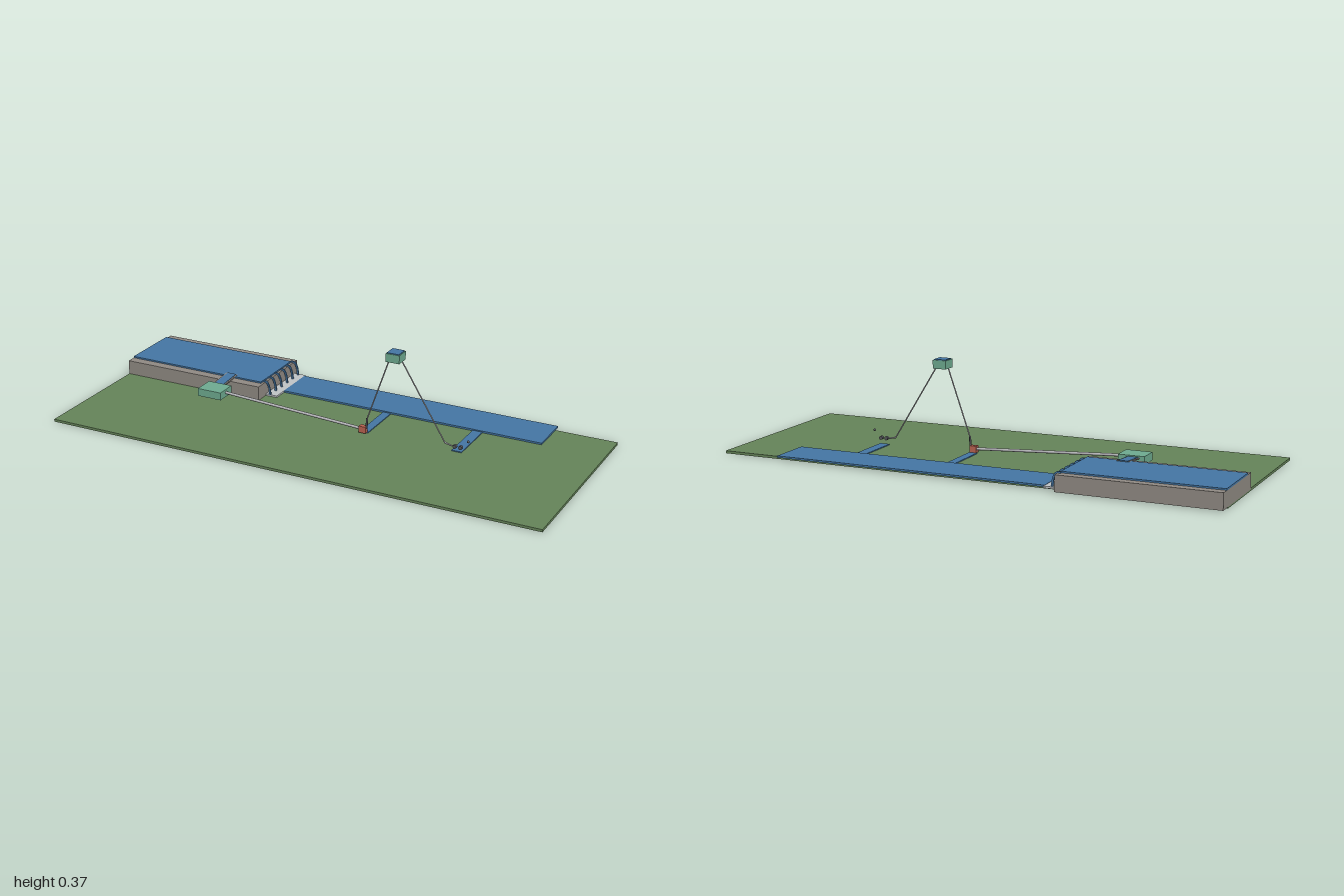
import * as THREE from 'three';

const mat = (name, color) => {
  const m = new THREE.MeshStandardMaterial({ color });
  m.name = name;
  return m;
};

export function createModel() {
  const grass = mat('grass green', 0x66855a);
  const water = mat('water blue', 0x4577a6);
  const stone = mat('stone grey', 0x928c85);
  const concrete = mat('light concrete', 0xc2c6c9);
  const teal = mat('teal', 0x70ad92);
  const red = mat('brick red', 0xbd6452);
  const pipeGrey = mat('pipe grey', 0xb4b4b8);
  const dark = mat('dark metal', 0x55585c);

  const model = new THREE.Group();
  model.name = 'hydroPowerSite';
  const lineZ = -0.009; // all machinery stands on this line

  const add = (name, geometry, material) => {
    const mesh = new THREE.Mesh(geometry, material);
    mesh.name = name;
    model.add(mesh);
    return mesh;
  };
  // box from its lower and upper limits on each axis
  const box = (name, material, [x0, x1], [y0, y1], [z0, z1]) => {
    const mesh = add(name, new THREE.BoxGeometry(x1 - x0, y1 - y0, z1 - z0), material);
    mesh.position.set((x0 + x1) / 2, (y0 + y1) / 2, (z0 + z1) / 2);
    return mesh;
  };
  // straight pipe between two points
  const pipe = (name, material, a, b, r0, r1 = r0) => {
    const p = new THREE.Vector3(...a), q = new THREE.Vector3(...b);
    const d = q.clone().sub(p);
    const mesh = add(name, new THREE.CylinderGeometry(r1, r0, d.length(), 16), material);
    mesh.position.copy(p).add(q).multiplyScalar(0.5);
    mesh.quaternion.setFromUnitVectors(new THREE.Vector3(0, 1, 0), d.normalize());
    return mesh;
  };

  // Land and river
  box('ground', grass, [-1, 1], [0, 0.01], [-0.367, 0.42]);
  box('river', water, [-0.34, 0.755], [0.011, 0.018], [-0.39, -0.215]);
  box('powerhouseTailrace', water, [0.1, 0.133], [0.009, 0.0135], [-0.216, -0.015]);
  box('pumpIntakeChannel', water, [0.477, 0.517], [0.009, 0.0135], [-0.216, -0.015]);

  // Upper reservoir with its spillway
  box('reservoir', stone, [-1, -0.39], [0.005, 0.067], [-0.42, -0.1]);
  box('reservoirWater', water, [-1, -0.4], [0.066, 0.073], [-0.385, -0.137]);
  box('spillwayApron', concrete, [-0.395, -0.34], [0.01, 0.017], [-0.4, -0.157]);

  // Falling water: an arched ribbon, repeated along the dam edge
  const jet = new THREE.Shape();
  jet.moveTo(-0.402, 0.073);
  jet.lineTo(-0.388, 0.073);
  jet.quadraticCurveTo(-0.37, 0.068, -0.366, 0.017);
  jet.lineTo(-0.374, 0.017);
  jet.quadraticCurveTo(-0.376, 0.062, -0.39, 0.066);
  jet.lineTo(-0.402, 0.066);
  const jetGeometry = new THREE.ExtrudeGeometry(jet, { depth: 0.006, bevelEnabled: false, curveSegments: 6 });
  for (let i = 0; i < 6; i++) {
    add('spillwayJet', jetGeometry, water).position.z = -0.161 - i * 0.0465;
  }

  // Sloping feeder channel from reservoir to forebay
  const feeder = new THREE.Group();
  feeder.name = 'feederChannel';
  const feederParts = [
    ['feederBed', stone, 0.05, 0.004, 0],
    ['feederWater', water, 0.038, 0.003, 0.0025],
  ];
  for (const [name, material, width, height, y] of feederParts) {
    const mesh = new THREE.Mesh(new THREE.BoxGeometry(width, height, 0.108), material);
    mesh.name = name;
    mesh.position.y = y;
    feeder.add(mesh);
  }
  feeder.position.set(-0.544, 0.0685, -0.103);
  feeder.rotation.x = 0.075;
  model.add(feeder);

  // Forebay tank and penstock
  box('forebayTank', teal, [-0.588, -0.485], [0.042, 0.073], [-0.052, 0.033]);
  pipe('penstock', pipeGrey, [-0.487, 0.06, lineZ], [0.11, 0.028, lineZ], 0.0055);

  // Powerhouse with its riser
  box('powerhouse', red, [0.102, 0.13], [0.014, 0.04], [-0.019, 0.001]);
  pipe('powerhouseRiser', dark, [0.13, 0.034, lineZ], [0.132, 0.074, lineZ], 0.004);

  // High tank with its two long pipes
  box('highTank', teal, [0.22, 0.275], [0.33, 0.363], [-0.036, 0.02]);
  box('highTankWater', water, [0.223, 0.272], [0.361, 0.366], [-0.033, 0.017]);
  pipe('risingPipe', pipeGrey, [0.132, 0.072, lineZ], [0.224, 0.335, lineZ], 0.0025);
  pipe('fallingPipe', pipeGrey, [0.271, 0.335, lineZ], [0.453, 0.04, lineZ], 0.0025);

  // Small jet turbine at the end of the falling pipe
  pipe('turbineInlet', pipeGrey, [0.452, 0.041, lineZ], [0.482, 0.034, lineZ], 0.0035, 0.0025);
  for (const x of [0.493, 0.516]) {
    pipe('turbineWheel', dark, [x, 0.034, lineZ - 0.006], [x, 0.034, lineZ + 0.006], 0.0075);
  }
  add('turbineMarker', new THREE.SphereGeometry(0.005, 12, 8), dark).position.set(0.545, 0.063, lineZ);

  return model;
}
